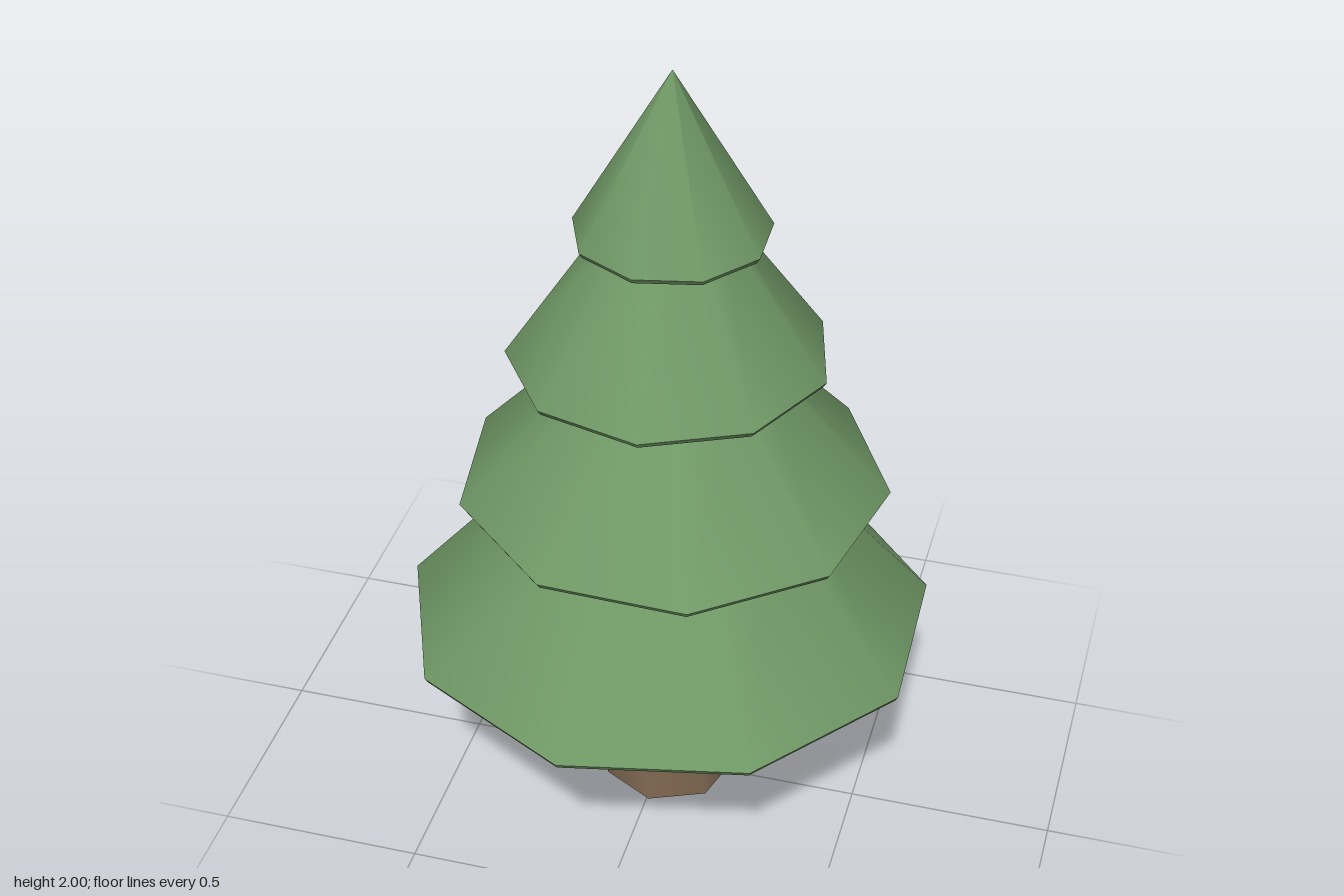
import * as THREE from 'three';

const TIERS = 9, TRUNK = 7;

// Tapered drum whose first corner points at a compass angle (degrees, from +x towards +z)
function drum(name, material, rTop, rBottom, y0, y1, sides, angle, open = false) {
  const start = Math.PI / 2 - THREE.MathUtils.degToRad(angle);
  const geometry = new THREE.CylinderGeometry(rTop, rBottom, y1 - y0, sides, 1, open, start);
  geometry.translate(0, (y0 + y1) / 2, 0);
  const mesh = new THREE.Mesh(geometry, material);
  mesh.name = name;
  return mesh;
}

export function createModel() {
  const tree = new THREE.Group();
  tree.name = 'pineTree';

  const needles = new THREE.MeshStandardMaterial({ color: 0x6f9765 });
  needles.name = 'needle green';
  const bark = new THREE.MeshStandardMaterial({ color: 0x7a634d });
  bark.name = 'bark brown';

  // Trunk: a wide foot and an offset upper piece pushed into it
  const foot = drum('trunkFoot', bark, 0.105, 0.168, 0, 0.34, TRUNK, 144);
  foot.position.set(0.013, 0, -0.013);
  const stem = drum('trunkStem', bark, 0.085, 0.106, 0.255, 0.56, TRUNK, 144);
  stem.position.set(0.039, 0, -0.01);
  tree.add(foot, stem);

  // Branch tiers: sloping skirt over a thin closed rim, each slightly tilted and turned
  const tiers = [
    { name: 'bottomTier', x: 0.012, z: -0.006, r: 0.65, top: 0.265, y: 0.5, y1: 0.95, angle: 178, tiltX: -0.01, tiltZ: 0.002 },
    { name: 'lowerTier', x: 0.026, z: -0.003, r: 0.517, top: 0.165, y: 0.897, y1: 1.3, angle: -88.5, tiltX: 0.01, tiltZ: -0.008 },
    { name: 'upperTier', x: 0.019, z: 0.012, r: 0.38, top: 0.125, y: 1.26, y1: 1.64, angle: 85.5, tiltX: -0.004, tiltZ: 0.01 },
    { name: 'topTier', x: 0.026, z: 0.018, r: 0.23, top: 0, y: 1.59, y1: 2, angle: 97.7, tiltX: 0, tiltZ: 0 },
  ];
  for (const t of tiers) {
    const rim = 0.013;
    const tier = new THREE.Group();
    tier.name = t.name;
    const height = t.y1 - t.y;
    tier.add(
      drum('skirt', needles, t.top, t.r, rim, height, TIERS, t.angle, true),
      drum('rim', needles, t.r, t.r - 0.008, 0, rim, TIERS, t.angle),
    );
    tier.position.set(t.x, t.y, t.z);
    tier.rotation.set(t.tiltX, 0, t.tiltZ);
    tree.add(tier);
  }
  return tree;
}
